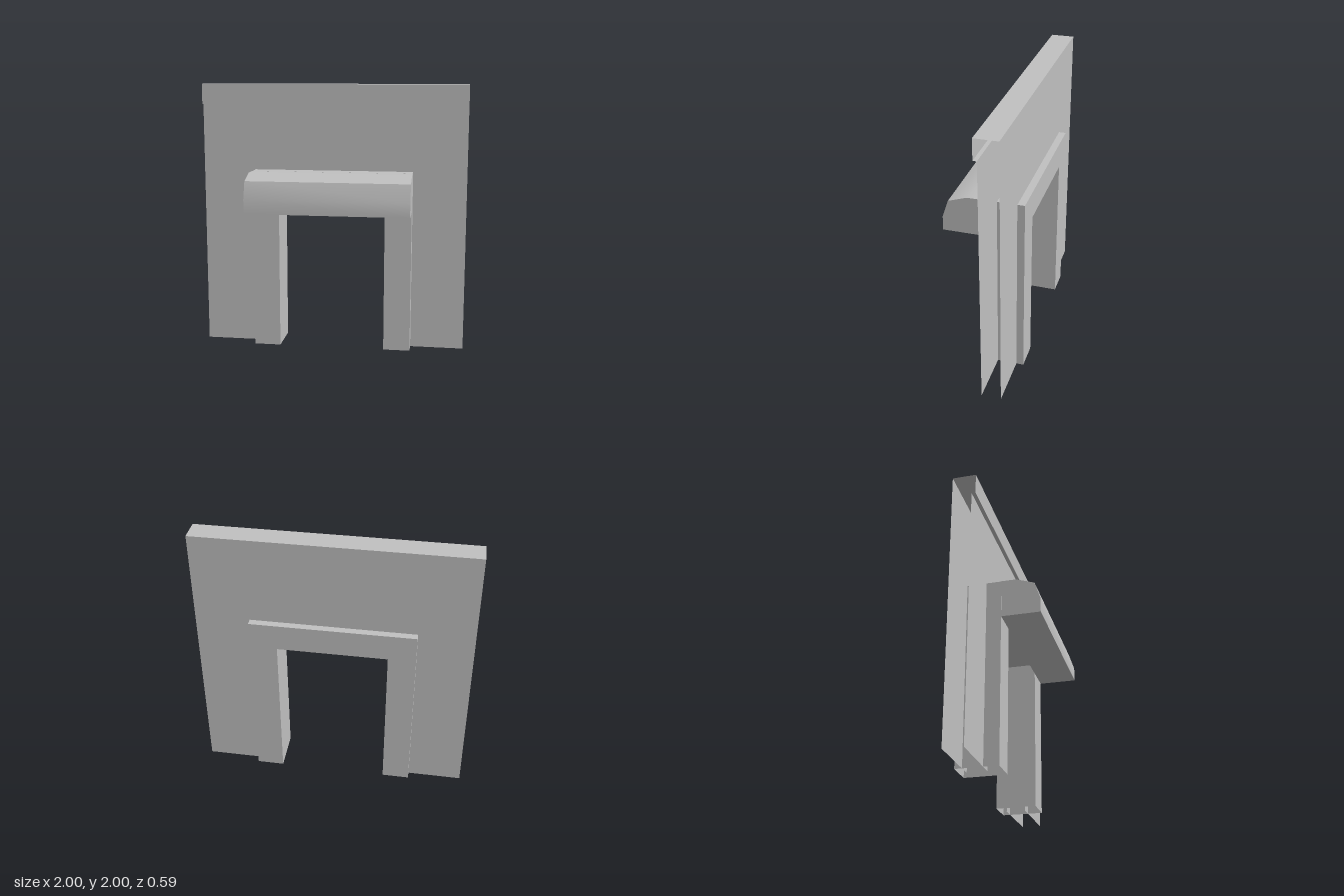
import * as THREE from 'three';

const grey = new THREE.MeshStandardMaterial({ color: 0xc0c0c0, side: THREE.DoubleSide });
grey.name = 'plain grey';

// Sweep a polyline of [x, y, z] points along a straight offset
function ribbon(points, offset, smooth = false) {
  const pos = [], index = [];
  points.forEach(([x, y, z], i) => {
    pos.push(x, y, z, x + offset[0], y + offset[1], z + offset[2]);
    if (i) {
      const a = 2 * i - 2;
      index.push(a, a + 2, a + 3, a, a + 3, a + 1);
    }
  });
  let g = new THREE.BufferGeometry();
  g.setAttribute('position', new THREE.Float32BufferAttribute(pos, 3));
  g.setIndex(index);
  if (!smooth) g = g.toNonIndexed();
  g.computeVertexNormals();
  return g;
}

// Flat panel from [x, y] corners
const panel = (pts) => new THREE.ShapeGeometry(new THREE.Shape(pts.map(([x, y]) => new THREE.Vector2(x, y))));

// Upside-down U: an outer rectangle with a doorway cut from its foot
const arch = (w, h, iw, ih) => panel([
  [-w, 0], [-iw, 0], [-iw, ih], [iw, ih], [iw, 0], [w, 0], [w, h], [-w, h],
]);

export function createModel() {
  const model = new THREE.Group();
  model.name = 'doorway';
  const add = (name, geometry, z = 0, turned = false) => {
    const mesh = new THREE.Mesh(geometry, grey);
    mesh.name = name;
    mesh.position.z = z;
    if (turned) mesh.rotation.y = Math.PI;
    model.add(mesh);
  };

  // Hollow wall: two open-edged sheets
  const wallFront = -0.098, wallBack = -0.24;
  add('wallFrontSheet', arch(1, 1.85, 0.5, 1.255), wallFront);
  add('wallBackSheet', arch(1, 2, 0.5, 1.255), wallBack, true);

  // Coping: lip, face and top, open at both ends
  add('wallCoping', ribbon([
    [1, 1.85, wallFront], [1, 1.85, -0.07], [1, 2, -0.07], [1, 2, wallBack],
  ], [-2, 0, 0]));

  // Door frame, open at the foot of each post
  const w = 0.6, h = 1.355, iw = 0.4, ih = 1.155, front = 0.01, back = -0.293;
  const depth = [0, 0, back - front];
  add('frameFront', arch(w, h, iw, ih), front);
  add('frameBack', arch(w, h, iw, ih), back, true);
  add('frameOuterSides', ribbon([[-w, 0, front], [-w, h, front], [w, h, front], [w, 0, front]], depth));
  add('frameReveal', ribbon([[iw, 0, front], [iw, ih, front], [-iw, ih, front], [-iw, 0, front]], depth));

  // Canopy over the door: rounded in two facets with a crease between them
  const cw = 0.603, low = 1.075, span = [-2 * cw, 0, 0], rear = 0.012;
  const lower = [[0.293, low], [0.293, 1.18], [0.25, 1.31]];
  const upper = [[0.25, 1.31], [0.115, h], [rear, h]];
  const along = (pts) => pts.map(([z, y]) => [cw, y, z]);
  add('canopyFront', ribbon(along(lower), span, true));
  add('canopyTop', ribbon(along(upper), span, true));
  add('canopyUnderside', ribbon(along([[rear, ih], [rear, low], [0.293, low]]), span));
  for (const side of [1, -1]) {
    const end = panel([[rear, low], ...lower, ...upper.slice(1)].map(([z, y]) => [-z * side, y]));
    end.rotateY(side * Math.PI / 2);
    end.translate(side * cw, 0, 0);
    add(side > 0 ? 'canopyLeftEnd' : 'canopyRightEnd', end);
  }
  return model;
}
